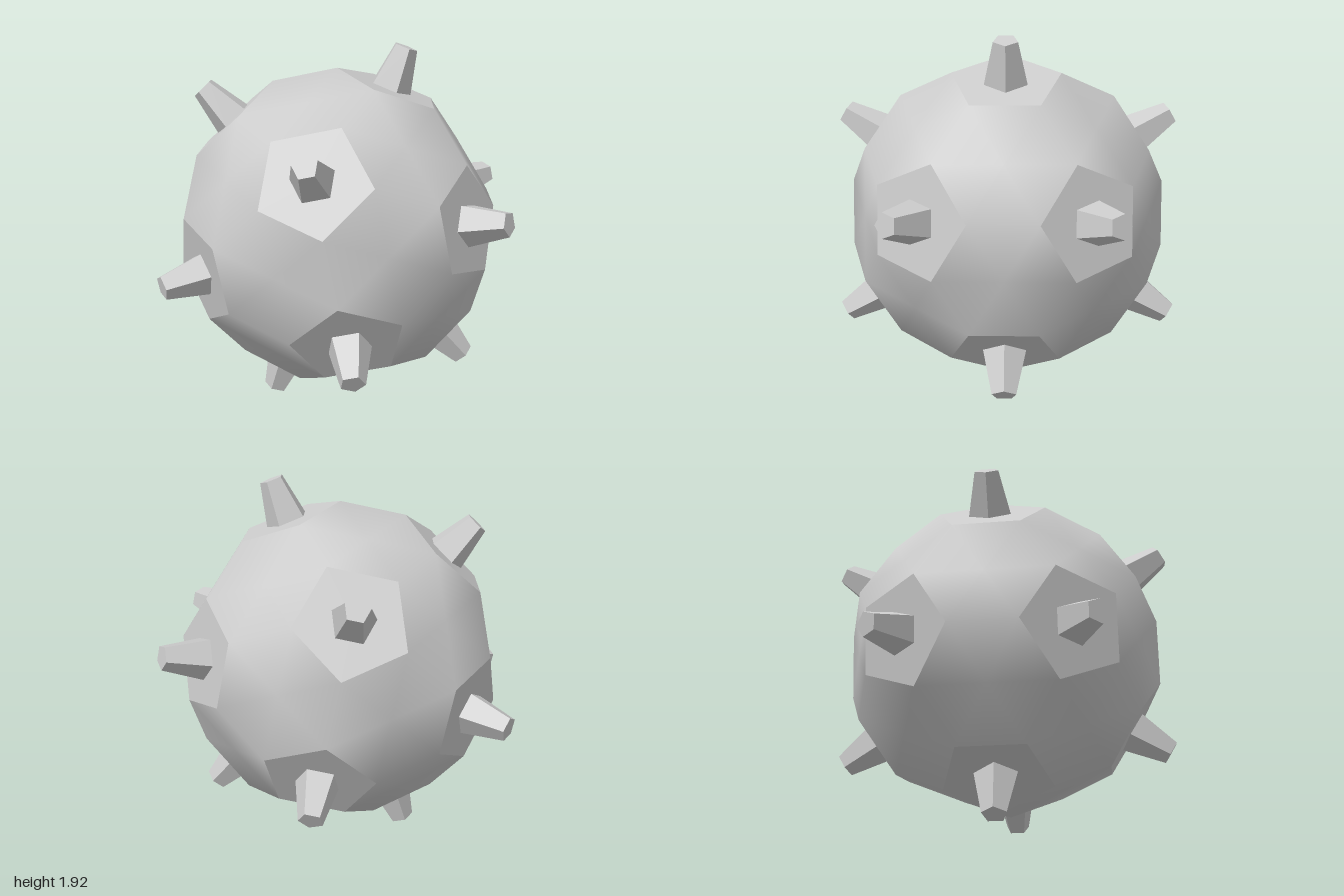
import * as THREE from 'three';
import { mergeVertices } from 'three/addons/utils/BufferGeometryUtils.js';

const CENTER_Y = 0.96, R = 0.835;        // body centre and corner radius
const HALF = THREE.MathUtils.degToRad(20.077); // angle from a panel centre to its corners
const TURN = THREE.MathUtils.degToRad(34.3);
const PANEL_R = R * Math.sin(HALF), PANEL_D = R * Math.cos(HALF);
const TIP = 1.004;

// Twelve spike directions: icosahedron corners, tilted so a panel corner points straight up
function spikeDirections() {
  const dirs = [new THREE.Vector3(0, 1, 0)];
  for (let k = 0; k < 5; k++) {
    const a = k * Math.PI * 0.4;
    dirs.push(new THREE.Vector3(2 * Math.sin(a), 1, -2 * Math.cos(a)).normalize());
  }
  for (const d of dirs) {
    d.applyAxisAngle(new THREE.Vector3(1, 0, 0), HALF);
    d.applyAxisAngle(new THREE.Vector3(0, 1, 0), TURN);
  }
  return dirs.concat(dirs.map((d) => d.clone().negate()));
}

const adjacent = (a, b) => Math.abs(a.dot(b) - 0.447) < 0.05;

// Corner on the edge p-q, nearer to p
const corner = (p, q) => p.clone().multiplyScalar(2).add(q).setLength(R);

// Twenty smooth hexagons between the panels
function hexagonShell(dirs) {
  const pos = [];
  for (let i = 0; i < 12; i++) for (let j = i + 1; j < 12; j++) for (let k = j + 1; k < 12; k++) {
    let [a, b, c] = [dirs[i], dirs[j], dirs[k]];
    if (!adjacent(a, b) || !adjacent(b, c) || !adjacent(a, c)) continue;
    if (a.clone().cross(b).dot(c) < 0) [b, c] = [c, b];
    const ring = [corner(a, b), corner(b, a), corner(b, c), corner(c, b), corner(c, a), corner(a, c)];
    const mid = new THREE.Vector3();
    ring.forEach((v) => mid.addScaledVector(v, 1 / 6));
    ring.forEach((v, n) => pos.push(...mid, ...v, ...ring[(n + 1) % 6]));
  }
  let geo = new THREE.BufferGeometry();
  geo.setAttribute('position', new THREE.Float32BufferAttribute(pos, 3));
  geo = mergeVertices(geo, 1e-4);
  geo.computeVertexNormals();
  return geo;
}

export function createModel() {
  const model = new THREE.Group();
  model.name = 'spikedBall';
  const smooth = new THREE.MeshStandardMaterial({ color: 0xcccccc });
  const flat = new THREE.MeshStandardMaterial({ color: 0xcccccc, flatShading: true });
  const dirs = spikeDirections();

  const body = new THREE.Mesh(hexagonShell(dirs), smooth);
  body.name = 'body';
  body.position.y = CENTER_Y;
  model.add(body);

  // Flat pentagon panel with one corner toward local -z
  const panelGeo = new THREE.CircleGeometry(PANEL_R, 5, Math.PI / 2);
  panelGeo.rotateX(-Math.PI / 2).translate(0, PANEL_D, 0);

  // Tapered five-sided spike, turned half a step against its panel
  const base = PANEL_D - 0.005;
  const spikeGeo = new THREE.CylinderGeometry(0.063, 0.113, TIP - base, 5);
  spikeGeo.translate(0, (TIP + base) / 2, 0);

  dirs.forEach((d, i) => {
    const neighbour = dirs.find((q) => adjacent(d, q));
    const z = neighbour.clone().addScaledVector(d, -neighbour.dot(d)).normalize().negate();
    const x = d.clone().cross(z);
    const stud = new THREE.Group();
    stud.name = `stud${i + 1}`;
    stud.quaternion.setFromRotationMatrix(new THREE.Matrix4().makeBasis(x, d, z));
    stud.position.y = CENTER_Y;
    const panel = new THREE.Mesh(panelGeo, flat);
    panel.name = 'panel';
    const spike = new THREE.Mesh(spikeGeo, flat);
    spike.name = 'spike';
    stud.add(panel, spike);
    model.add(stud);
  });
  return model;
}
